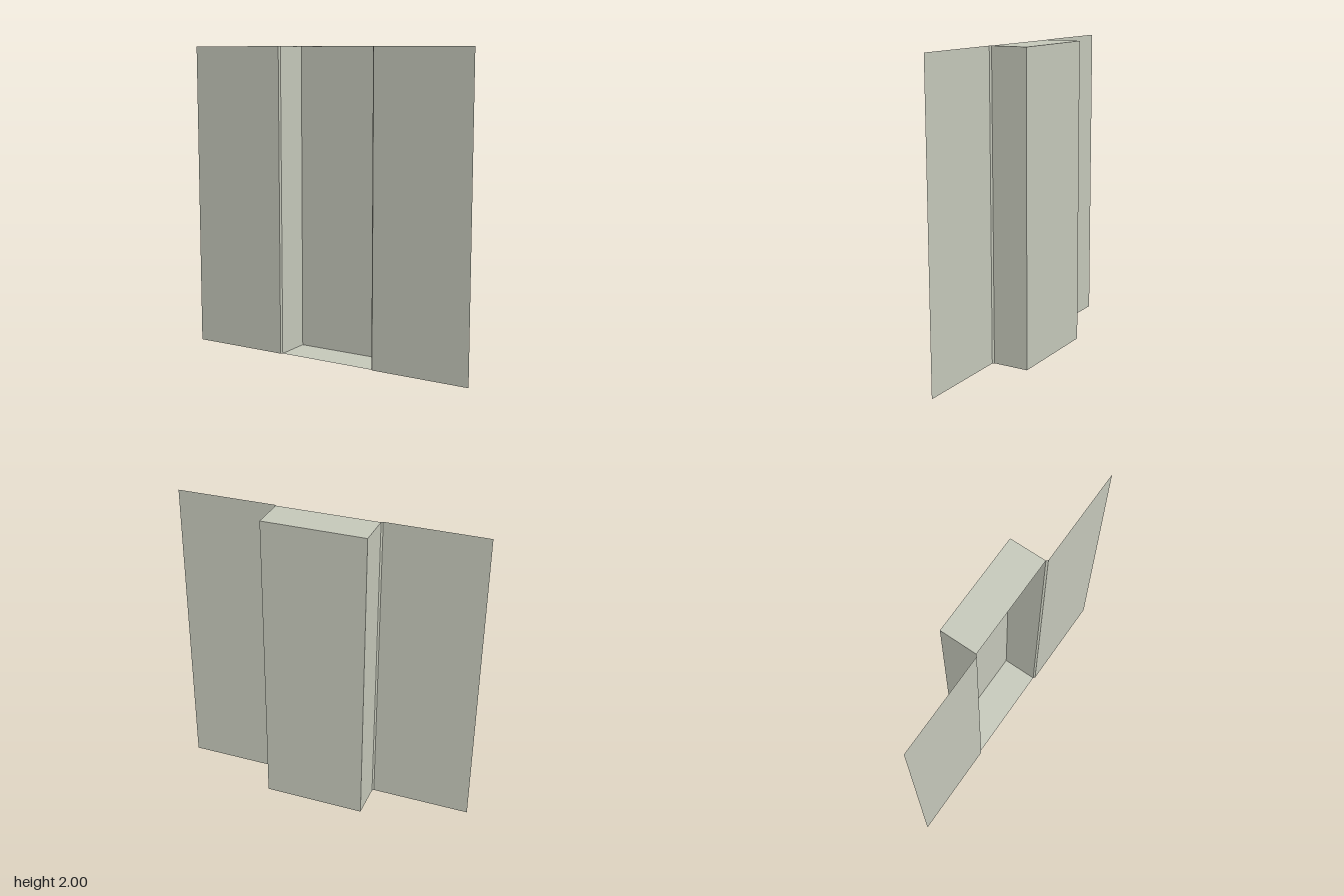
import * as THREE from 'three';

export function createModel() {
  const group = new THREE.Group();
  const paint = new THREE.MeshStandardMaterial({ color: 0xc5c8ba, side: THREE.DoubleSide });
  paint.name = 'pale sage grey';

  const H = 2;          // height
  const W = 0.335;      // half width of the recess
  const FRONT = 0.125;  // plane of the side panels
  const LIP = 0.115;    // front edge of the recess
  const BACK = -0.125;

  // Upright sheet running in plan from (x0, z0) to (x1, z1)
  function sheet(name, x0, z0, x1, z1) {
    const dx = x1 - x0, dz = z1 - z0;
    const mesh = new THREE.Mesh(new THREE.PlaneGeometry(Math.hypot(dx, dz), H), paint);
    mesh.position.set((x0 + x1) / 2, H / 2, (z0 + z1) / 2);
    mesh.rotation.y = Math.atan2(-dz, dx);
    mesh.name = name;
    group.add(mesh);
  }

  // Flat wall panels, bevelled edges and recess cheeks on both sides
  sheet('rightWallPanel', -1, FRONT, -W - 0.01, FRONT);
  sheet('rightBevel', -W - 0.01, FRONT, -W, LIP);
  sheet('rightCheek', -W, LIP, -W, BACK);
  sheet('recessBack', -W, BACK, W, BACK);
  sheet('leftCheek', W, BACK, W, LIP);
  sheet('leftBevel', W, LIP, W + 0.01, FRONT);
  sheet('leftWallPanel', W + 0.01, FRONT, 1, FRONT);

  // Floor and ceiling of the recess
  for (const [name, y, turn] of [['recessFloor', 0, -1], ['recessCeiling', H, -1]]) {
    const mesh = new THREE.Mesh(new THREE.PlaneGeometry(2 * W, LIP - BACK), paint);
    mesh.rotation.x = turn * Math.PI / 2;
    mesh.position.set(0, y, (LIP + BACK) / 2);
    mesh.name = name;
    group.add(mesh);
  }
  return group;
}
